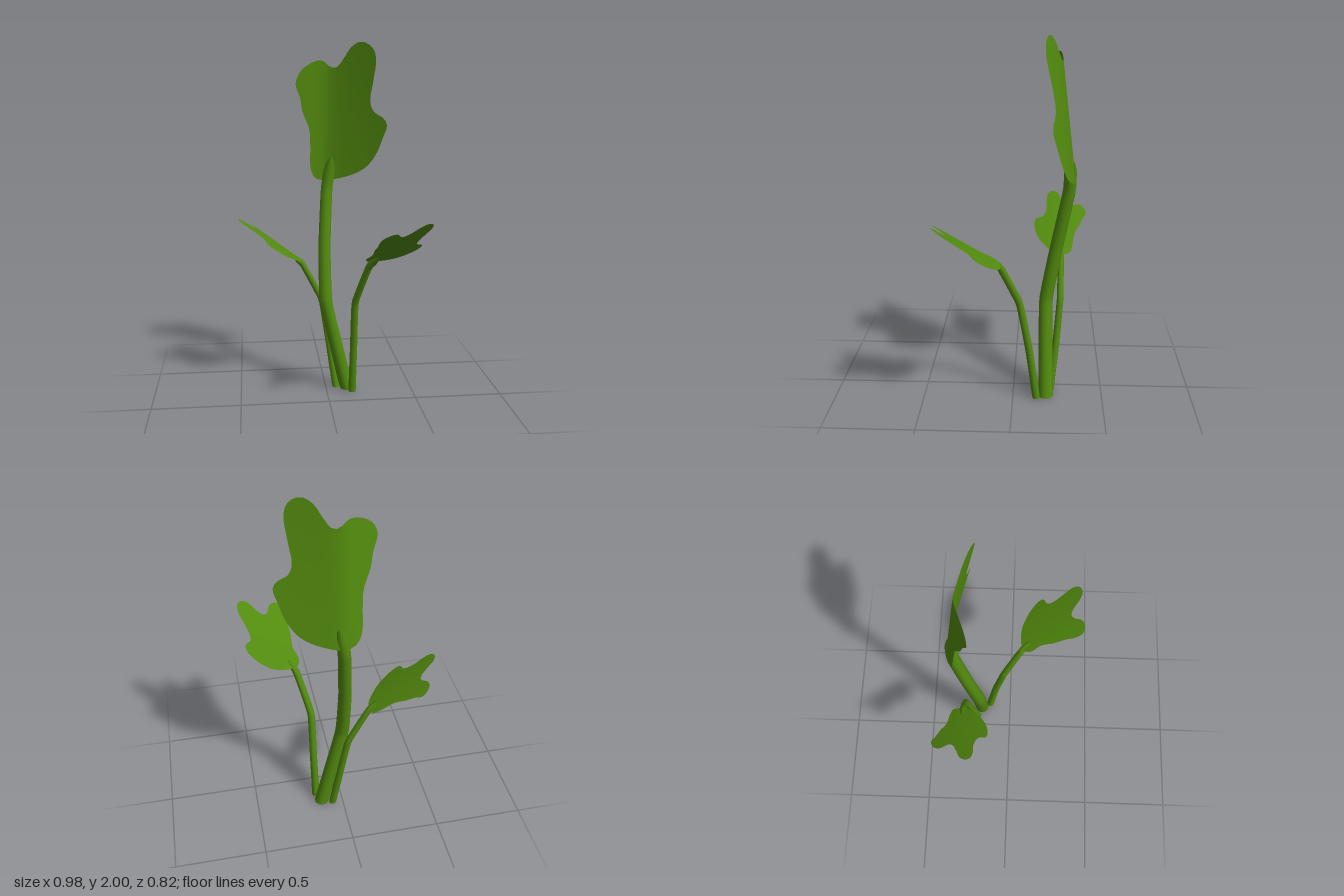
import * as THREE from 'three';

const green = new THREE.MeshStandardMaterial({ color: 0x528a0e, side: THREE.DoubleSide });
green.name = 'leafGreen';

// Tapered stem along a few points, flat at the ground and rounded at the tip
function stem(name, points, r0, r1) {
  const curve = new THREE.CatmullRomCurve3(
    points.map((p) => new THREE.Vector3(...p)), false, 'catmullrom', 0.15);
  const rings = 32, sides = 10;
  const geo = new THREE.TubeGeometry(curve, rings, 1, sides, false);
  const pos = geo.attributes.position;
  const v = new THREE.Vector3();
  for (let i = 0; i <= rings; i++) {
    const c = curve.getPointAt(i / rings);
    const taper = i === rings ? 0 : i === rings - 1 ? 0.75 : 1;
    const r = THREE.MathUtils.lerp(r0, r1, i / rings) * taper;
    for (let j = 0; j <= sides; j++) {
      const k = i * (sides + 1) + j;
      v.fromBufferAttribute(pos, k).sub(c).multiplyScalar(r).add(c);
      pos.setXYZ(k, v.x, i === 0 ? 0 : Math.max(v.y, 0), v.z);
    }
  }
  const group = new THREE.Group();
  group.name = name;
  const tube = new THREE.Mesh(geo, green);
  tube.name = name + 'Tube';
  const base = new THREE.Mesh(new THREE.CircleGeometry(r0, sides), green);
  base.name = name + 'Base';
  base.rotation.x = Math.PI / 2;
  base.position.set(points[0][0], 0, points[0][2]);
  group.add(tube, base);
  return group;
}

// Thin lobed leaf: rings growing from a centre to the outline, bent by a rule
function leaf(name, centre, outline, bend) {
  const curve = new THREE.CatmullRomCurve3(
    outline.map(([u, v]) => new THREE.Vector3(u, v, 0)), true, 'centripetal');
  const n = 84, rings = 9;
  const edge = curve.getSpacedPoints(n).slice(0, n);
  const pos = [...bend(...centre)], index = [];
  for (let r = 1; r <= rings; r++) {
    edge.forEach((p, i) => {
      const t = r / rings;
      pos.push(...bend(centre[0] + (p.x - centre[0]) * t, centre[1] + (p.y - centre[1]) * t));
      const a = 1 + (r - 1) * n + i, b = 1 + (r - 1) * n + (i + 1) % n;
      if (r === 1) index.push(0, a, b);
      else index.push(a - n, a, b, a - n, b, b - n);
    });
  }
  const geo = new THREE.BufferGeometry();
  geo.setAttribute('position', new THREE.Float32BufferAttribute(pos, 3));
  geo.setIndex(index);
  geo.computeVertexNormals();
  const mesh = new THREE.Mesh(geo, green);
  mesh.name = name;
  return mesh;
}

export function createModel() {
  const model = new THREE.Group();
  model.name = 'plant';

  // Stems
  model.add(
    stem('mainStem', [[0.122, 0, -0.185], [0.0, 0.53, -0.18], [-0.004, 0.85, -0.235],
      [0.015, 1.18, -0.298], [0.045, 1.37, -0.3]], 0.041, 0.033),
    stem('frontStem', [[0.148, 0, -0.132], [0.15, 0.3, -0.09], [0.15, 0.575, -0.037],
      [0.212, 0.81, 0.065], [0.255, 0.87, 0.13]], 0.022, 0.019),
    stem('sideStem', [[0.06, 0, -0.21], [0.02, 0.28, -0.24], [-0.02, 0.53, -0.26],
      [-0.13, 0.745, -0.262], [-0.19, 0.8, -0.26]], 0.021, 0.017));

  // Tall upright leaf, folded back along a soft midrib
  model.add(leaf('mainLeaf', [0.07, 1.58], [
    [-0.077, 1.3], [-0.055, 1.246], [0, 1.225], [0.14, 1.25], [0.235, 1.3], [0.294, 1.384],
    [0.325, 1.474], [0.345, 1.545], [0.325, 1.585], [0.272, 1.62], [0.25, 1.675],
    [0.262, 1.79], [0.272, 1.91], [0.25, 1.97], [0.193, 2], [0.14, 1.97], [0.103, 1.91],
    [0.06, 1.86], [0.024, 1.87], [-0.013, 1.9], [-0.07, 1.89], [-0.135, 1.845],
    [-0.165, 1.775], [-0.14, 1.7], [-0.125, 1.62], [-0.087, 1.526], [-0.08, 1.43],
  ], (x, y) => {
    const d = x - 0.02;
    const fold = Math.sqrt(d * d + 0.0025) - 0.05;
    const slope = d < 0 ? 0.55 : 0.3 * (1 + 0.8 * (y - 1.5));
    return [x, y, -0.33 + 0.12 * (y - 1.22) + slope * fold];
  }));

  // Leaf reaching forward
  model.add(leaf('frontLeaf', [0.33, 0.2], [
    [0.187, 0.12], [0.195, 0.08], [0.245, 0.06], [0.335, 0.062], [0.415, 0.1],
    [0.468, 0.15], [0.474, 0.178], [0.442, 0.2], [0.442, 0.23], [0.463, 0.278],
    [0.49, 0.335], [0.484, 0.372], [0.45, 0.388], [0.41, 0.372], [0.38, 0.346],
    [0.345, 0.332], [0.323, 0.35], [0.305, 0.388], [0.27, 0.407], [0.23, 0.393],
    [0.218, 0.35], [0.218, 0.305], [0.21, 0.24], [0.21, 0.17],
  ], (x, z) => [x,
    0.83 + 0.58 * (z - 0.06) + 0.1 * (x - 0.2) + 0.7 * (x - 0.2) * (z - 0.06), z]));

  // Leaf reaching to the side
  model.add(leaf('sideLeaf', [-0.31, -0.25], [
    [-0.13, -0.26], [-0.14, -0.31], [-0.17, -0.325], [-0.25, -0.34], [-0.3, -0.37],
    [-0.34, -0.388], [-0.38, -0.41], [-0.42, -0.38], [-0.42, -0.35], [-0.395, -0.31],
    [-0.4, -0.29], [-0.44, -0.265], [-0.48, -0.245], [-0.493, -0.21], [-0.475, -0.185],
    [-0.43, -0.178], [-0.39, -0.178], [-0.345, -0.157], [-0.335, -0.115],
    [-0.29, -0.11], [-0.23, -0.13], [-0.18, -0.17], [-0.14, -0.22],
  ], (x, z) => [x, 0.76 - 0.74 * (x + 0.13) - 0.6 * (z + 0.24) ** 2, z]));

  return model;
}
